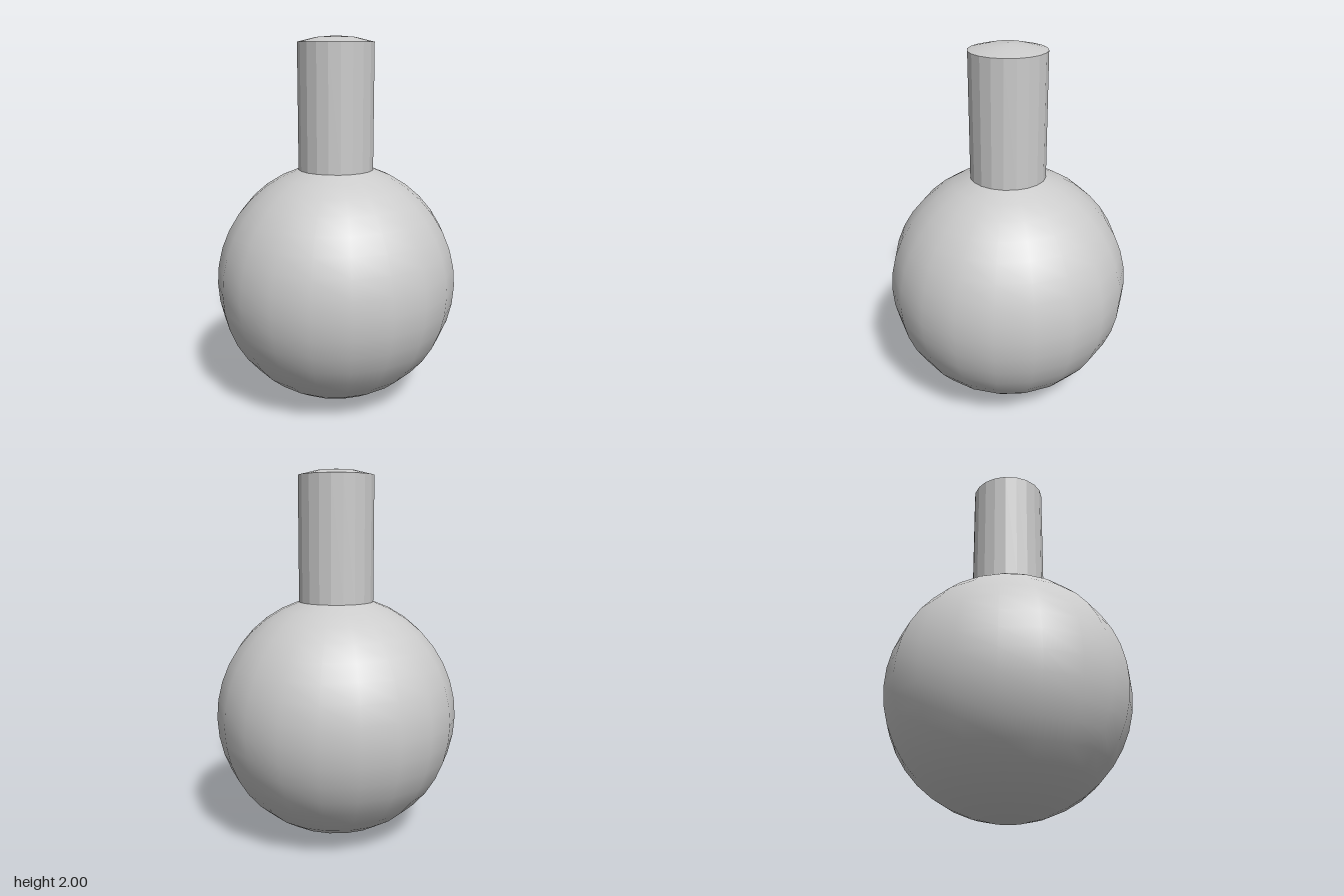
import * as THREE from 'three';

const SIDES = 20;
const RINGS = 20;
const RADIUS = 0.662;
const CENTRE = 0.664;
const LIFT = 0.672; // neck height
const NECK_RING = 2; // ring, counted from the top pole, where the neck starts

// Profile point of the ball on a given ring (0 = top pole)
function ringPoint(ring, lift = 0) {
  const a = (ring / RINGS) * Math.PI;
  const x = ring === 0 || ring === RINGS ? 0 : RADIUS * Math.sin(a);
  return new THREE.Vector2(x, CENTRE + lift + CENTRE * Math.cos(a));
}

// Surface of revolution running upward from one ring to another
function ballZone(fromRing, toRing, lift) {
  const points = [];
  for (let r = fromRing; r >= toRing; r--) points.push(ringPoint(r, lift));
  return new THREE.LatheGeometry(points, SIDES);
}

export function createModel() {
  const group = new THREE.Group();
  const smooth = new THREE.MeshStandardMaterial({ color: 0xcccccc, side: THREE.DoubleSide });
  const faceted = new THREE.MeshStandardMaterial({ color: 0xcccccc, side: THREE.DoubleSide, flatShading: true });

  const add = (name, geometry, material) => {
    const mesh = new THREE.Mesh(geometry, material);
    mesh.name = name;
    group.add(mesh);
  };

  // Round body, open under the neck
  add('body', ballZone(RINGS, NECK_RING, 0), smooth);

  // Straight faceted neck
  const neckProfile = [ringPoint(NECK_RING), ringPoint(NECK_RING, LIFT)];
  add('neck', new THREE.LatheGeometry(neckProfile, SIDES), faceted);

  // Domed cap, the raised top of the ball
  add('neckCap', ballZone(NECK_RING, 0, LIFT), smooth);

  return group;
}
